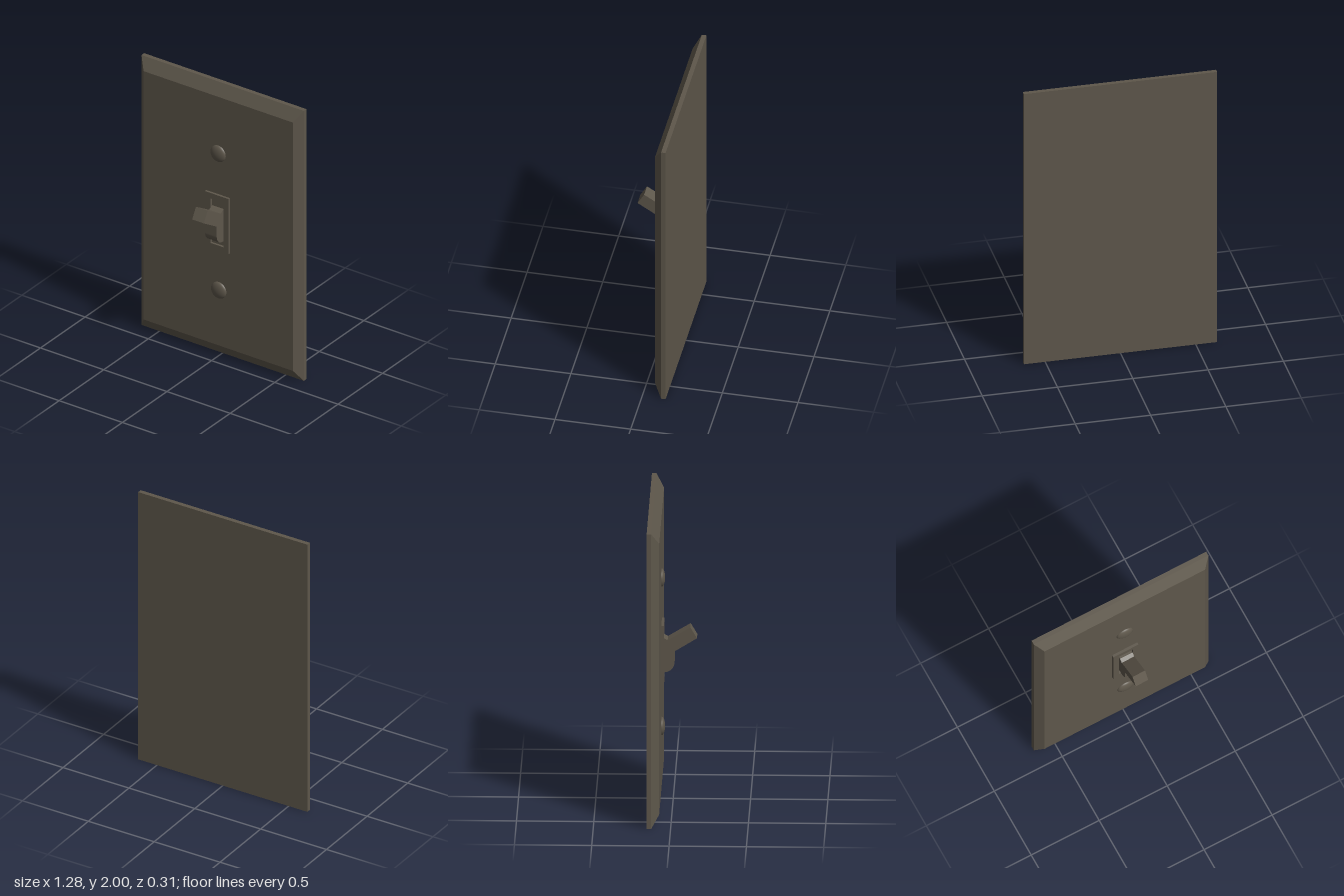
import * as THREE from 'three';

export function createModel() {
  const model = new THREE.Group();
  const bronze = new THREE.MeshStandardMaterial({ color: 0x5e574b });
  bronze.name = 'dark bronze';

  const add = (name, geometry, x = 0, y = 0, z = 0) => {
    const mesh = new THREE.Mesh(geometry, bronze);
    mesh.name = name;
    mesh.position.set(x, y, z);
    model.add(mesh);
    return mesh;
  };

  // Flat back of the wall plate
  add('plateBack', new THREE.BoxGeometry(1.284, 2, 0.03), 0, 1, -0.14);

  // Bevelled front: a box whose front face is drawn inward
  const bevel = new THREE.BoxGeometry(1.284, 2, 0.05);
  const p = bevel.attributes.position;
  for (let i = 0; i < p.count; i++) {
    if (p.getZ(i) > 0) {
      p.setX(i, Math.sign(p.getX(i)) * 0.59);
      p.setY(i, Math.sign(p.getY(i)) * 0.92);
    }
  }
  bevel.computeVertexNormals();
  add('plateFront', bevel, 0, 1, -0.1);

  // Raised surround with a slot for the toggle
  const rect = (s, x0, x1, y0, y1) =>
    s.moveTo(x0, y0).lineTo(x1, y0).lineTo(x1, y1).lineTo(x0, y1).closePath();
  const surround = rect(new THREE.Shape(), -0.094, 0.092, 0.79, 1.2);
  surround.holes.push(rect(new THREE.Path(), -0.05, 0.052, 0.83, 1.16));
  add('toggleSurround',
    new THREE.ExtrudeGeometry(surround, { depth: 0.017, bevelEnabled: false }), 0, 0, -0.075);

  // Toggle side profile: rounded base with the lever tilted up (x = forward, y = up)
  const width = 0.092;
  const profile = new THREE.Shape();
  profile.moveTo(-0.078, 0.87);
  profile.lineTo(-0.06, 0.87);
  profile.absarc(-0.06, 0.94, 0.07, -Math.PI / 2, 0, false);
  profile.lineTo(0.01, 1.013);
  profile.lineTo(0.155, 1.103);
  profile.lineTo(0.112, 1.177);
  profile.lineTo(-0.035, 1.088);
  profile.lineTo(-0.06, 1.103);
  profile.lineTo(-0.078, 1.103);
  profile.closePath();
  const toggle = new THREE.ExtrudeGeometry(profile,
    { depth: width, bevelEnabled: false, curveSegments: 16 });
  toggle.rotateY(-Math.PI / 2);
  add('toggle', toggle, 0.002 + width / 2, 0, 0);

  // Domed screw heads
  const screw = new THREE.SphereGeometry(0.06, 32, 10, 0, Math.PI * 2, 0, Math.PI / 2);
  screw.rotateX(Math.PI / 2);
  screw.scale(1, 1, 0.4);
  add('upperScrew', screw, 0, 1.5, -0.076);
  add('lowerScrew', screw, 0.005, 0.49, -0.076);

  return model;
}
